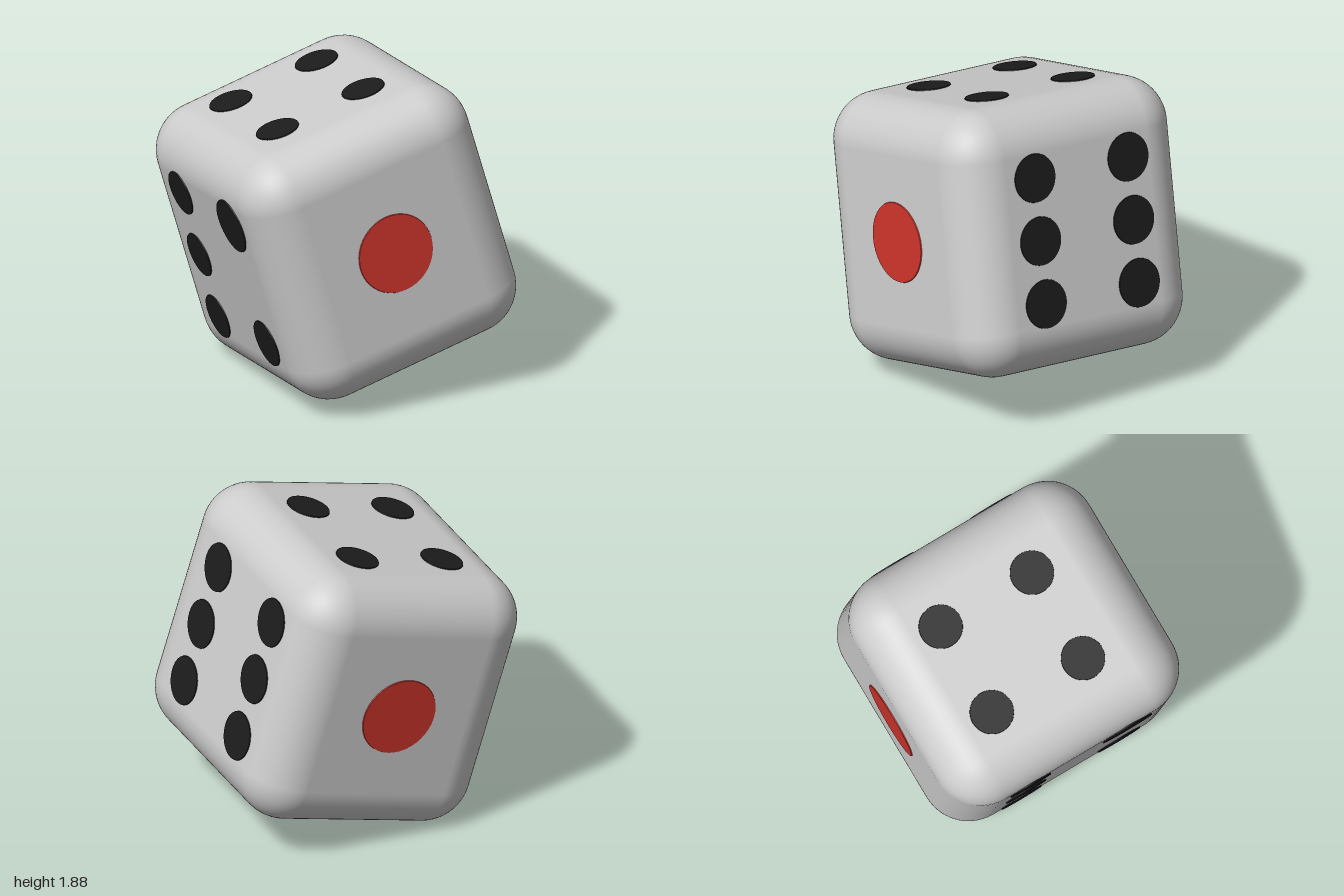
import * as THREE from 'three';
import { RoundedBoxGeometry } from 'three/addons/geometries/RoundedBoxGeometry.js';

const ivory = new THREE.MeshStandardMaterial({ color: 0xcccccc });
ivory.name = 'light grey body';
const black = new THREE.MeshStandardMaterial({ color: 0x1c1c1c });
black.name = 'black pip';
const red = new THREE.MeshStandardMaterial({ color: 0xcc332b });
red.name = 'red pip';

// Half sizes of the cube along its own axes
const HX = 0.755, HY = 0.8, HZ = 0.795;

export function createModel() {
  const model = new THREE.Group();
  model.name = 'tiltedDie';

  const die = new THREE.Group();
  die.name = 'die';
  model.add(die);

  // Softly rounded cube
  const body = new THREE.Mesh(new RoundedBoxGeometry(2 * HX, 2 * HY, 2 * HZ, 8, 0.285), ivory);
  body.name = 'body';
  die.add(body);

  // Thin disc standing just proud of a face; its axis is turned to the face normal
  const disc = new THREE.CylinderGeometry(0.97, 1, 1, 40);
  const up = new THREE.Vector3(0, 1, 0);
  function pip(name, material, normal, position, rx, rz = rx) {
    const mesh = new THREE.Mesh(disc, material);
    mesh.name = name;
    mesh.quaternion.setFromUnitVectors(up, new THREE.Vector3(...normal));
    mesh.position.set(...position);
    mesh.scale.set(rx, 0.018, rz);
    die.add(mesh);
  }

  // Single red pips on the front and back
  pip('frontPip', red, [0, 0, 1], [0, 0, HZ - 0.003], 0.245);
  pip('backPip', red, [0, 0, -1], [0, 0, -HZ + 0.003], 0.245);

  // Six pips on the +x side
  for (const y of [-0.375, 0, 0.375])
    for (const z of [-0.36, 0.31])
      pip('sixSidePip', black, [1, 0, 0], [HX - 0.003, y, z], 0.148);

  // Five pips on the -x side: a column of three and a column of two
  for (const y of [-0.41, 0, 0.41])
    pip('fiveSidePip', black, [-1, 0, 0], [-HX + 0.003, y, -0.33], 0.14);
  pip('fiveSidePip', black, [-1, 0, 0], [-HX + 0.003, 0.39, 0.33], 0.17);
  pip('fiveSidePip', black, [-1, 0, 0], [-HX + 0.003, -0.39, 0.33], 0.148);

  // Four pips on top
  for (const x of [-0.29, 0.29])
    for (const z of [-0.345, 0.275])
      pip('topPip', black, [0, 1, 0], [x, HY - 0.003, z], 0.132);

  // One wide pip underneath
  pip('bottomPip', black, [0, -1, 0], [-0.05, -HY + 0.003, -0.03], 0.22, 0.29);

  // Tilt the die so that it rests on a corner
  die.quaternion.setFromRotationMatrix(new THREE.Matrix4().makeBasis(
    new THREE.Vector3(0.905, 0.257, 0.334).normalize(),
    new THREE.Vector3(-0.21, 0.962, -0.17).normalize(),
    new THREE.Vector3(-0.364, 0.075, 0.928).normalize()));
  die.position.y = 0.94;
  return model;
}
